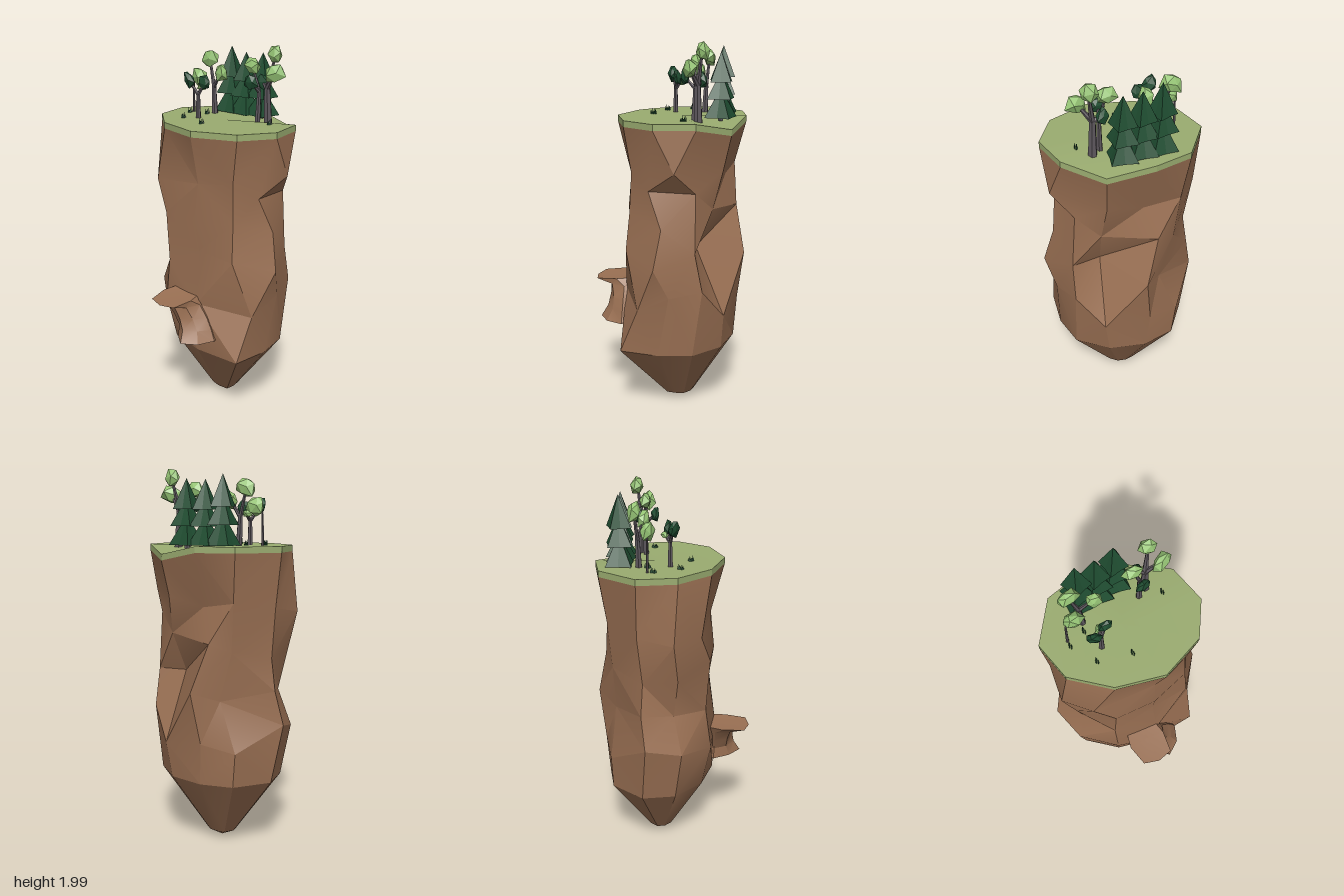
import * as THREE from 'three';
import { toCreasedNormals } from 'three/addons/utils/BufferGeometryUtils.js';

const mat = (name, color, flat = false) => {
  const m = new THREE.MeshStandardMaterial({ color, flatShading: flat });
  m.name = name;
  return m;
};

const dist = (p, q) => Math.hypot(p[0] - q[0], p[1] - q[1], p[2] - q[2]);

// Skin between closed rings listed from top to bottom, split along the shorter diagonal.
function loft(rings, topCentre, bottomCentre) {
  const n = rings[0].length;
  const pos = [];
  const tri = (...pts) => pts.forEach((p) => pos.push(...p));
  for (let i = 0; i < n; i++) {
    const j = (i + 1) % n;
    tri(topCentre, rings[0][j], rings[0][i]);
    for (let k = 0; k < rings.length - 1; k++) {
      const [a, b, c, d] = [rings[k][i], rings[k][j], rings[k + 1][i], rings[k + 1][j]];
      if (dist(a, d) < dist(b, c)) { tri(a, b, d); tri(a, d, c); } else { tri(a, b, c); tri(b, d, c); }
    }
    const last = rings[rings.length - 1];
    tri(bottomCentre, last[i], last[j]);
  }
  const g = new THREE.BufferGeometry();
  g.setAttribute('position', new THREE.Float32BufferAttribute(pos, 3));
  return toCreasedNormals(g, 0.42);
}

// Move every vertex of a geometry by a rule.
function reshape(geo, rule) {
  const p = geo.attributes.position;
  const v = new THREE.Vector3();
  for (let i = 0; i < p.count; i++) {
    rule(v.fromBufferAttribute(p, i));
    p.setXYZ(i, v.x, v.y, v.z);
  }
  return geo;
}

export function createModel() {
  const root = new THREE.Group();
  const rock = mat('rock brown', 0x9a7053);
  const grass = mat('grass green', 0x9aac70);
  const pine = mat('pine green', 0x1f4d31, true);
  const leaf = mat('leaf green', 0x97c676, true);
  const bark = mat('bark grey', 0x5d575d, true);

  const add = (parent, name, geo, material) => {
    const m = new THREE.Mesh(geo, material);
    m.name = name;
    parent.add(m);
    return m;
  };

  // Ten-sided plateau outline, x and z
  const cx = 0.07;
  const outline = [[-0.02, -0.365], [0.185, -0.39], [0.375, -0.225], [0.405, -0.02], [0.34, 0.21],
    [0.175, 0.375], [-0.035, 0.4], [-0.2, 0.275], [-0.27, 0.04], [-0.19, -0.2]];
  const rim = (y) => outline.map(([x, z], i) => [x, i === 4 ? y - 0.045 : y, z]);

  // Grass slab with one sunken corner
  add(root, 'grassTop', loft([rim(1.61), rim(1.578)], [cx, 1.607, 0], [cx, 1.578, 0]), grass);

  // Rock column: craggy cross-sections, then the outline shrunk toward the tip
  const shoulder = [[0, 1.27, -0.405], [0.185, 1.3, -0.36], [0.34, 1.33, -0.2], [0.3, 1.3, -0.01], [0.3, 1.35, 0.19],
    [0.07, 1.365, 0.4], [-0.07, 1.26, 0.32], [-0.17, 1.34, 0.23], [-0.2, 1.32, 0.03], [-0.14, 1.28, -0.3]];
  const waist = [[-0.02, 1.06, -0.345], [0.16, 1.04, -0.33], [0.32, 1.08, -0.18], [0.36, 1.12, -0.07], [0.25, 1.15, 0.2],
    [0.17, 1.25, 0.31], [0, 1.07, 0.365], [-0.18, 1.13, 0.24], [-0.22, 1.12, 0.02], [-0.19, 1.12, -0.2]];
  const belly = [[0, 0.85, -0.3], [0.17, 0.87, -0.355], [0.31, 0.82, -0.11], [0.41, 0.87, 0.01], [0.16, 0.94, 0.17],
    [0.17, 0.94, 0.33], [-0.035, 0.87, 0.412], [-0.2, 0.93, 0.25], [-0.195, 0.95, 0.03], [-0.17, 0.84, -0.2]];
  const hip = [[-0.04, 0.65, -0.36], [0.15, 0.69, -0.395], [0.34, 0.56, -0.21], [0.375, 0.6, -0.03], [0.315, 0.57, 0.21],
    [0.21, 0.74, 0.335], [0.04, 0.71, 0.375], [-0.13, 0.62, 0.33], [-0.235, 0.66, 0.04], [-0.2, 0.62, -0.2]];
  const shrunk = (y, s) => outline.map(([x, z], i) => {
    const f = i === 7 ? s * 1.28 : s;
    return [cx + (x - cx) * f, y, z * f];
  });
  add(root, 'rockColumn', loft([rim(1.578), shoulder, waist, belly, hip, shrunk(0.38, 0.86), shrunk(0.045, 0.21)],
    [cx, 1.57, 0], [cx, 0.005, 0]), rock);

  // Waisted ledge on the side: y, centre x, centre z, radius x, radius z
  const ledge = [[0.7, -0.28, -0.055, 0.15, 0.11], [0.665, -0.235, -0.03, 0.105, 0.1],
    [0.6, -0.235, 0.01, 0.095, 0.1], [0.54, -0.235, 0.04, 0.1, 0.1], [0.48, -0.235, 0.055, 0.135, 0.115]]
    .map(([y, x, z, rx, rz], k) => Array.from({ length: 8 }, (_, i) => {
      const a = i * Math.PI / 4 + 0.08;
      const s = 1 + 0.09 * Math.sin(i * 2.7 + k);
      return [x + Math.cos(a) * rx * s, y + (k ? 0 : 0.012 * Math.cos(a)), z + Math.sin(a) * rz * s];
    }));
  add(root, 'sideLedge', loft(ledge, [-0.27, 0.695, -0.05], [-0.235, 0.48, 0.055]), rock);

  // Row of three-tier pines with four-pointed skirts
  const star = (v) => {
    const f = 0.83 + 0.17 * Math.cos(4 * Math.atan2(v.x, v.z));
    v.x *= f;
    v.z *= f;
  };
  [[0.275, 0.095, 0.34], [0.27, -0.01, 0.335], [0.275, -0.11, 0.36]].forEach(([x, z, h], t) => {
    const g = new THREE.Group();
    g.name = 'pineTree';
    g.position.set(x, 1.605, z);
    [[0.02, 0.46, 0.093], [0.3, 0.72, 0.086], [0.55, 1, 0.074]].forEach(([b, top, r], k) => {
      const m = add(g, 'pineTier', reshape(new THREE.ConeGeometry(r, (top - b) * h, 8), star), pine);
      m.position.y = (b + top) / 2 * h;
      m.rotation.y = Math.PI / 4 + (k - 1) * 0.15 + (t - 1) * 0.1;
    });
    const trunk = add(g, 'pineTrunk', new THREE.CylinderGeometry(0.012, 0.015, 0.06, 6), bark);
    trunk.position.y = 0.02;
    root.add(g);
  });

  // Tapered limb between two points
  const limb = (parent, name, a, b, r0, r1) => {
    const from = new THREE.Vector3(...a);
    const dir = new THREE.Vector3(...b).sub(from);
    const m = add(parent, name, new THREE.CylinderGeometry(r1, r0, dir.length(), 6), bark);
    m.position.copy(from).addScaledVector(dir, 0.5);
    m.quaternion.setFromUnitVectors(new THREE.Vector3(0, 1, 0), dir.normalize());
  };

  // Uneven leaf clump, narrower toward the top
  const crumple = (seed) => (v) => {
    const f = 1 + 0.2 * Math.sin(v.x * 5 + v.y * 7 + v.z * 3 + seed);
    v.multiplyScalar(f);
    v.x *= 1 - 0.25 * v.y;
    v.z *= 1 - 0.2 * v.y;
  };

  // Branching trees: base, fork, trunk radius, leaf clumps (x, y, z, size, dark)
  const trees = [
    [[0.17, 1.59, 0.205], [0.165, 1.78, 0.2], 0.024, [[0.19, 1.95, 0.23, 1], [0.13, 1.87, 0.265, 1.1],
      [0.185, 1.81, 0.155, 0.85, 1]]],
    [[0.145, 1.59, 0.155], [0.15, 1.76, 0.16], 0.016, [[0.145, 1.89, 0.12, 1], [0.095, 1.82, 0.14, 0.85, 1]]],
    [[0.175, 1.6, -0.15], [0.18, 1.75, -0.16], 0.018, [[0.195, 1.9, -0.2, 1.1], [0.15, 1.84, -0.09, 0.95]]],
    [[0.13, 1.6, -0.262], [0.13, 1.77, -0.26], 0.008, [[0.13, 1.81, -0.225, 1.1]]],
    [[0.017, 1.6, -0.14], [0.017, 1.73, -0.14], 0.015, [[0, 1.81, -0.19, 0.9, 1],
      [0.028, 1.795, -0.105, 0.85, 1], [0.045, 1.77, -0.138, 0.45]]],
  ];
  trees.forEach(([base, fork, r, clumps], t) => {
    const g = new THREE.Group();
    g.name = 'leafyTree';
    limb(g, 'trunk', base, fork, r, r * 0.7);
    clumps.forEach(([x, y, z, s, dark], i) => {
      limb(g, 'branch', fork, [x, y, z], r * 0.65, 0.006);
      const m = add(g, 'leafClump', reshape(new THREE.IcosahedronGeometry(1, 0), crumple(i * 2 + t)), dark ? pine : leaf);
      m.position.set(x, y, z);
      m.scale.set((dark ? 0.027 : 0.034) * s, 0.05 * s, 0.048 * s);
      m.rotation.set(0.3 * Math.sin(i * 2 + z * 9), i * 0.4 - 0.3, 0.15);
    });
    root.add(g);
  });

  // Small grass tufts
  [[0.1, -0.265], [0.13, -0.17], [-0.035, -0.2], [-0.09, -0.035], [0.1, 0.26]].forEach(([x, z]) => {
    const g = new THREE.Group();
    g.name = 'grassTuft';
    for (let i = 0; i < 7; i++) {
      const h = 0.028 + 0.006 * (i % 3);
      const m = add(g, 'grassBlade', new THREE.ConeGeometry(0.006, h, 3), pine);
      m.position.set(x + (i - 3) * 0.0045, 1.6 + h / 2, z + 0.006 * Math.sin(i * 2.5));
      m.rotation.z = (3 - i) * 0.06;
    }
    root.add(g);
  });

  return root;
}
